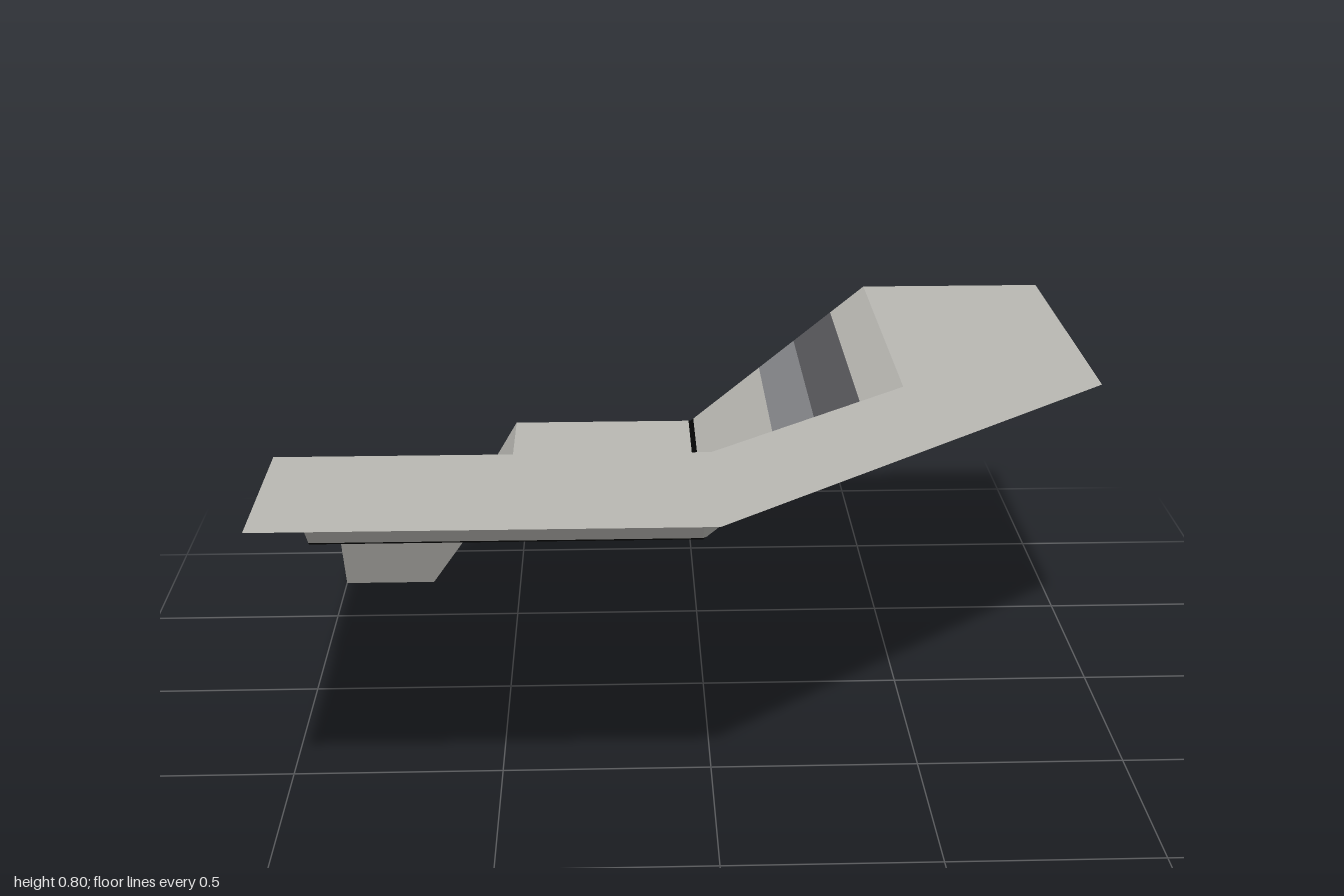
import * as THREE from 'three';

const mat = (name, color) => new THREE.MeshStandardMaterial({ name, color, flatShading: true, side: THREE.DoubleSide });

// Plan outline at offset t: square corner inside the basin, bevelled corner outside it
function outline([t, y]) {
  const c = Math.min(t, 0);
  return [[-1, y, t], [c, y, t], [t, y, c], [t, y, -1]];
}

// Surface strip between two outlines, facing up
function strip(inner, outer) {
  const a = outline(inner), b = outline(outer), pos = [];
  for (let i = 0; i < 3; i++) {
    pos.push(...a[i], ...b[i], ...b[i + 1], ...a[i], ...b[i + 1], ...a[i + 1]);
  }
  const g = new THREE.BufferGeometry();
  g.setAttribute('position', new THREE.Float32BufferAttribute(pos, 3));
  g.computeVertexNormals();
  return g;
}

export function createModel() {
  const group = new THREE.Group();
  const stone = mat('pale stone', 0xb8b7b2);
  const slate = mat('mid slate', 0x86878a);
  const dark = mat('dark slate', 0x57575b);
  const black = mat('black', 0x050505);
  const red = mat('dark red', 0x8a2a2a);

  // Height of the sloping bank at offset t
  const bank = (t) => [t, 0.4 + 0.8 * t];

  // Surfaces from the bottom of the pit out to the rim
  const parts = [
    ['drain', [-1, 0], [-0.88, 0], red],
    ['pitBottom', [-0.88, 0], [-0.75, 0], stone],
    ['pitWall', [-0.75, 0], [-0.51, 0.4], stone],
    ['basinFloor', [-0.51, 0.4], [-0.006, 0.4], stone],
    ['floorEdgeLine', [-0.006, 0.4], [0, 0.4], black],
    ['bankEdgeLine', bank(0), bank(0.008), black],
    ['lowerBank', bank(0.008), bank(0.2), stone],
    ['middleBand', bank(0.2), bank(0.3), slate],
    ['darkBand', bank(0.3), bank(0.405), dark],
    ['upperBank', bank(0.405), bank(0.5), stone],
    ['rim', [0.5, 0.8], [1, 0.8], stone],
  ];
  for (const [name, inner, outer, material] of parts) {
    const mesh = new THREE.Mesh(strip(inner, outer), material);
    mesh.name = name;
    group.add(mesh);
  }
  return group;
}
